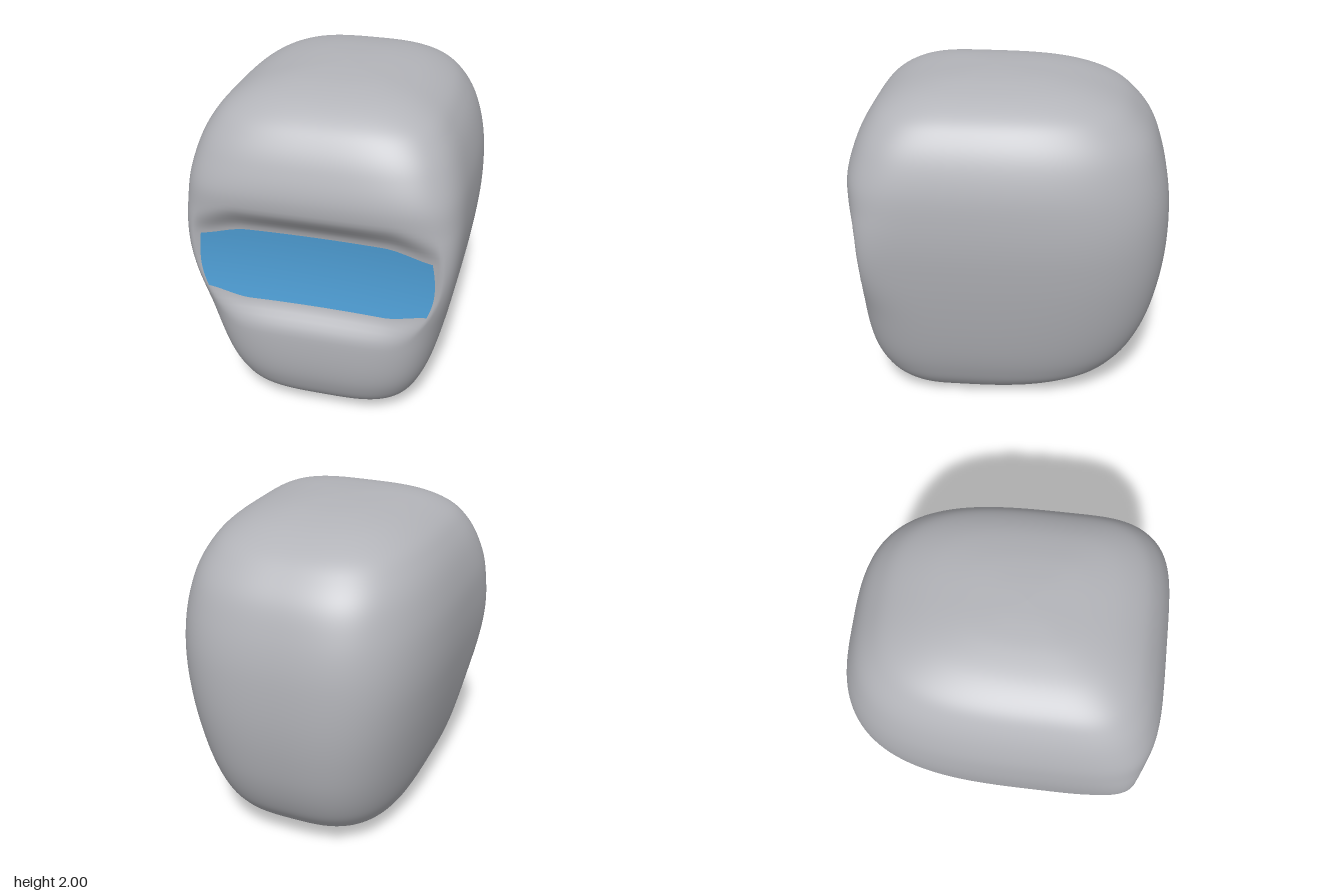
import * as THREE from 'three';

const shellGrey = new THREE.MeshStandardMaterial({ color: 0xb3b4b9 });
shellGrey.name = 'shell grey';
const visorBlue = new THREE.MeshStandardMaterial({ color: 0x4f9fd6 });
visorBlue.name = 'visor blue';

// Horizontal sections from bottom to top: [height, front z, back z, half width]
const SECTIONS = [
  [0, 0.3, 0.3, 0], [0.004, 0.43, 0.1, 0.17], [0.02, 0.55, -0.12, 0.33],
  [0.06, 0.68, -0.36, 0.45], [0.14, 0.78, -0.58, 0.525], [0.25, 0.84, -0.7, 0.58],
  [0.38, 0.875, -0.78, 0.626], [0.55, 0.89, -0.845, 0.67], [0.75, 0.885, -0.89, 0.712],
  [0.95, 0.88, -0.915, 0.746], [1.15, 0.885, -0.92, 0.77], [1.33, 0.905, -0.907, 0.775],
  [1.5, 0.925, -0.87, 0.762], [1.66, 0.885, -0.81, 0.72], [1.78, 0.825, -0.72, 0.66],
  [1.87, 0.745, -0.61, 0.58], [1.94, 0.62, -0.44, 0.45], [1.98, 0.46, -0.24, 0.29],
  [1.996, 0.28, -0.04, 0.14], [2, 0.12, 0.12, 0],
];
const ROWS = 120, SIDE = 60, COLS = SIDE * 4;
const VISOR_Y = 1.015, VISOR_H = 0.225, VISOR_W = 0.667;

const smooth = THREE.MathUtils.smoothstep;

// Smooth interpolation along the section list
function sectionAt(t) {
  const last = SECTIONS.length - 1;
  const f = t * last, i = Math.min(Math.floor(f), last - 1), u = f - i;
  const at = (k) => SECTIONS[THREE.MathUtils.clamp(k, 0, last)];
  return [0, 1, 2, 3].map((k) => {
    const [a, b, c, d] = [at(i - 1)[k], at(i)[k], at(i + 1)[k], at(i + 2)[k]];
    return b + 0.5 * u * (c - a + u * (2 * a - 5 * b + 4 * c - d + u * (3 * (b - c) + d - a)));
  });
}

// Floor of the visor recess, slightly hollow
function recessZ(x, y) {
  return 0.795 + 0.03 * (x / VISOR_W) ** 2 + 0.015 * ((y - VISOR_Y) / VISOR_H) ** 2;
}

// 1 inside the recess, fading to 0 at its rim
function recessMask(x, y) {
  const ax = Math.abs(x);
  const dy = Math.abs(y - VISOR_Y) + 0.055 * smooth(ax, 0.4, 0.68);
  return (1 - smooth(ax, 0.665, 0.735)) * (1 - smooth(dy, 0.228, 0.4));
}

// Rounded square outline, walked anticlockwise seen from above
function outline(c) {
  const s = ((c % SIDE) / SIDE) * 2 - 1;
  return [[s, 1], [1, -s], [-s, -1], [-1, s]][Math.floor(c / SIDE)];
}

function shellGeometry() {
  const pos = [], index = [];
  for (let r = 0; r <= ROWS; r++) {
    const [y, front, back, w] = sectionAt(r / ROWS);
    const zc = back + (front - back) * 0.66;
    const frontPower = 3.2 + 1.4 * Math.sin((Math.PI * y) / 2)
      + 4.2 * Math.exp(-(((y - 1.06) / 0.27) ** 2));
    for (let c = 0; c < COLS; c++) {
      const [a, b] = outline(c);
      const n = b > 0 ? frontPower : 3.2;
      const k = (Math.abs(a) ** n + Math.abs(b) ** n) ** (-1 / n);
      const x = a * k * w;
      let z = zc + b * k * (b > 0 ? front - zc : zc - back);
      if (b > 0 && z > 0.5) {
        z += (Math.min(z, recessZ(x, y)) - z) * recessMask(x, y);
      }
      pos.push(x, y, z);
      if (r < ROWS) {
        const p = r * COLS + c, q = r * COLS + ((c + 1) % COLS);
        index.push(p, q, q + COLS, p, q + COLS, p + COLS);
      }
    }
  }
  const g = new THREE.BufferGeometry();
  g.setAttribute('position', new THREE.Float32BufferAttribute(pos, 3));
  g.setIndex(index);
  g.computeVertexNormals();
  return g;
}

// Thin visor face with clipped corners, lying on the recess floor
function visorGeometry() {
  const g = new THREE.PlaneGeometry(2, 2, 48, 14);
  const p = g.attributes.position;
  for (let i = 0; i < p.count; i++) {
    const u = p.getX(i), v = p.getY(i);
    const x = u * VISOR_W * (1 - (v > 0 ? 0.025 : 0.055) * v * v);
    const y = VISOR_Y + v * (VISOR_H - 0.055 * smooth(Math.abs(x), 0.38, 0.68));
    p.setXYZ(i, x, y, recessZ(x, y) + 0.007);
  }
  g.computeVertexNormals();
  return g;
}

export function createModel() {
  const model = new THREE.Group();
  model.name = 'helmet';
  const shell = new THREE.Mesh(shellGeometry(), shellGrey);
  shell.name = 'shell';
  const visor = new THREE.Mesh(visorGeometry(), visorBlue);
  visor.name = 'visor';
  model.add(shell, visor);
  return model;
}
